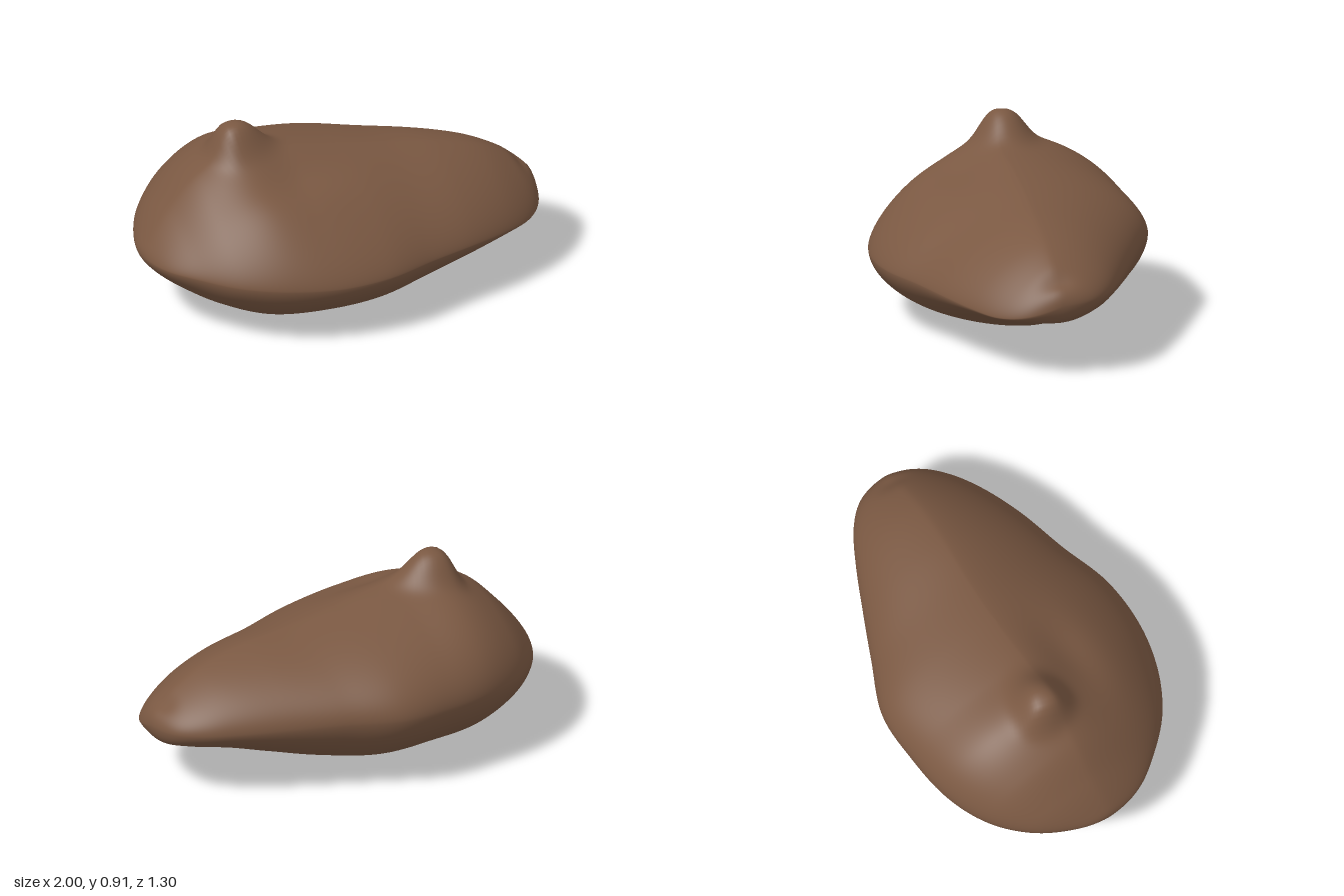
import * as THREE from 'three';

// Sections from the +x tip to the -x end, at x = cos(15 degrees * i):
// back edge z, front edge z, top y, bottom y, front rim y, back rim y
const SECTIONS = [
  [0.03, 0.03, 0.35, 0.35, 0.35, 0.35],
  [-0.12, 0.19, 0.43, 0.27, 0.30, 0.36],
  [-0.23, 0.31, 0.51, 0.24, 0.28, 0.37],
  [-0.325, 0.405, 0.59, 0.205, 0.29, 0.38],
  [-0.425, 0.485, 0.645, 0.135, 0.30, 0.39],
  [-0.535, 0.55, 0.68, 0.06, 0.30, 0.40],
  [-0.645, 0.63, 0.725, 0.01, 0.30, 0.40],
  [-0.65, 0.64, 0.77, 0.003, 0.30, 0.40],
  [-0.62, 0.585, 0.80, 0.01, 0.31, 0.40],
  [-0.53, 0.475, 0.70, 0.09, 0.32, 0.38],
  [-0.38, 0.315, 0.54, 0.185, 0.33, 0.36],
  [-0.19, 0.16, 0.41, 0.27, 0.33, 0.34],
  [-0.02, -0.02, 0.33, 0.33, 0.33, 0.33],
];

// Smooth interpolation of one section column at a given x
function at(x, col) {
  const last = SECTIONS.length - 1;
  const f = Math.acos(THREE.MathUtils.clamp(x, -1, 1)) / Math.PI * last;
  const i = Math.min(Math.floor(f), last - 1), t = f - i;
  const p = (k) => {
    if (k < 0) return 2 * SECTIONS[0][col] - SECTIONS[1][col];
    if (k > last) return 2 * SECTIONS[last][col] - SECTIONS[last - 1][col];
    return SECTIONS[k][col];
  };
  const a = p(i - 1), b = p(i), c = p(i + 1), d = p(i + 2);
  return b + 0.5 * t * (c - a + t * (2 * a - 5 * b + 4 * c - d + t * (3 * (b - c) + d - a)));
}

const bump = (x, z, cx, cz, rx, rz, power = 2) =>
  Math.exp(-Math.pow(Math.hypot((x - cx) / rx, (z - cz) / rz), power));

// Height of the upper or lower skin above a point of the plan
function height(x, z, upper) {
  const mid = (at(x, 0) + at(x, 1)) / 2;
  const front = z >= mid;
  const half = Math.abs(at(x, front ? 1 : 0) - mid);
  const t = half < 1e-6 ? 1 : Math.min(Math.abs(z - mid) / half, 1);
  const n = upper && front ? 1.4 : 1.8;
  const h = Math.pow(1 - Math.pow(t, n), 1 / n);
  const rim = at(x, front ? 4 : 5);
  let y = rim + (at(x, upper ? 2 : 3) - rim) * h;
  if (upper) {
    // knob, hollow beside it and dimple near the tip
    y += 0.115 * bump(x, z, -0.53, -0.07, x > -0.53 ? 0.17 : 0.08, 0.12, 3);
    y -= 0.045 * h * bump(x, z, -0.35, 0.2, 0.25, 0.13);
    y -= 0.02 * h * bump(x, z, 0.93, 0.04, 0.04, 0.08);
  }
  return y;
}

// Closed rings run from a small opening underneath, round the rim, to the top
function bodyGeometry() {
  const rows = 110, cols = 180, pos = [], index = [];
  const start = 0.1;
  for (let r = 0; r <= rows; r++) {
    const phi = start + (Math.PI - start) * r / rows;
    const s = Math.max(Math.sin(phi), 1e-4);
    for (let c = 0; c < cols; c++) {
      const a = c / cols * Math.PI * 2;
      const x = s * Math.cos(a);
      const z = s * at(Math.cos(a), a <= Math.PI ? 1 : 0);
      pos.push(x, height(x, z, phi > Math.PI / 2), z);
      if (r < rows) {
        const p = r * cols + c, q = r * cols + (c + 1) % cols;
        index.push(p, p + cols, q, q, p + cols, q + cols);
      }
    }
  }
  const g = new THREE.BufferGeometry();
  g.setAttribute('position', new THREE.Float32BufferAttribute(pos, 3));
  g.setIndex(index);
  g.computeVertexNormals();
  return g;
}

export function createModel() {
  const group = new THREE.Group();
  group.name = 'knobbedShell';
  const brown = new THREE.MeshStandardMaterial({ color: 0x7a5842, side: THREE.DoubleSide });
  brown.name = 'brown';
  const body = new THREE.Mesh(bodyGeometry(), brown);
  body.name = 'body';
  group.add(body);
  return group;
}
